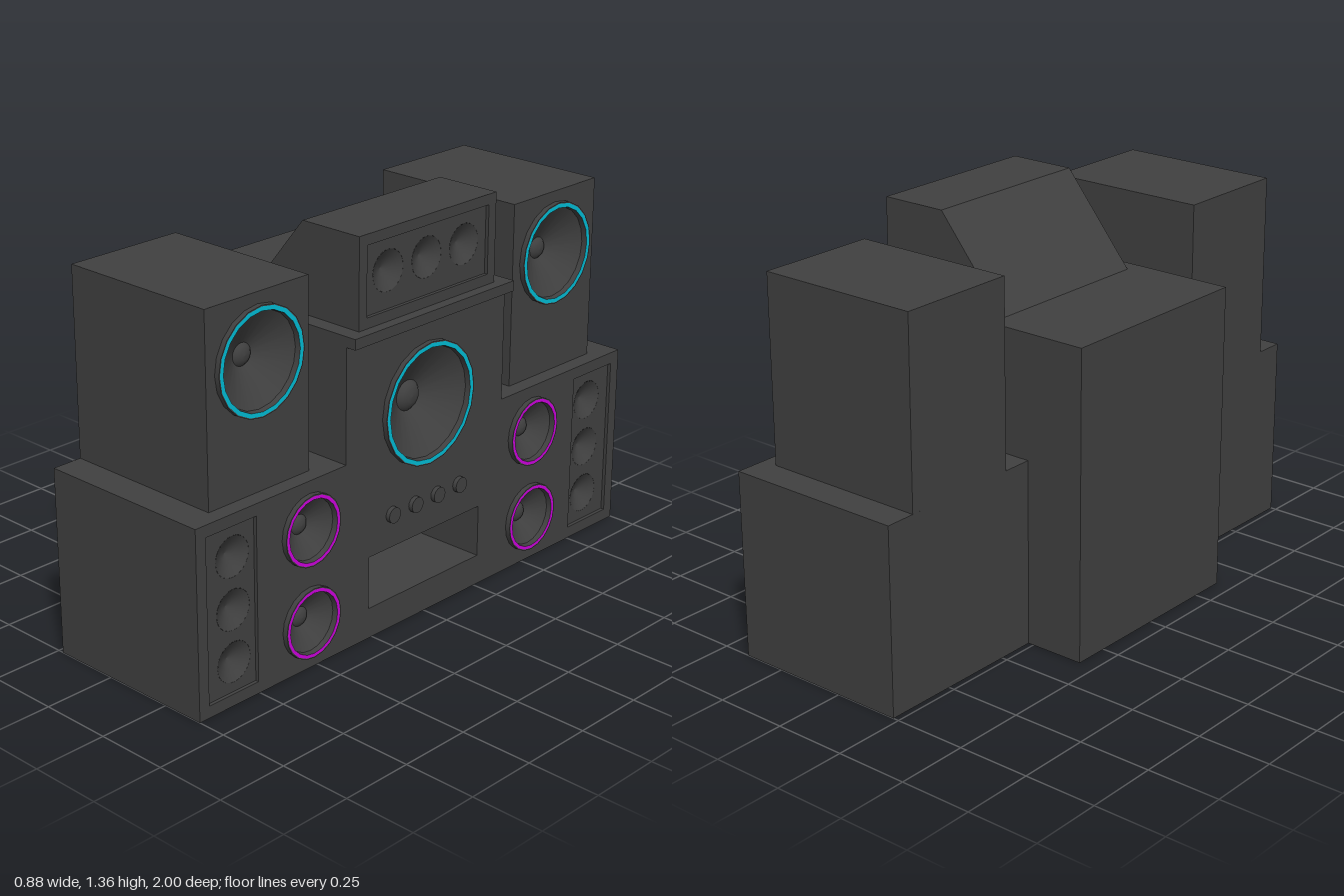
import * as THREE from 'three';

const SIDES = 20;

export function createModel() {
  const cabinetGrey = new THREE.MeshStandardMaterial({ color: 0x404040 });
  cabinetGrey.name = 'cabinet grey';
  const cyan = new THREE.MeshStandardMaterial({ color: 0x00bcd4 });
  cyan.name = 'cyan trim';
  const magenta = new THREE.MeshStandardMaterial({ color: 0xcc00dd });
  magenta.name = 'magenta trim';

  const model = new THREE.Group();
  model.name = 'speakerSystem';
  // Built facing +z, then turned so that the speakers face +x
  const body = new THREE.Group();
  body.name = 'stereo';
  body.rotation.y = Math.PI / 2;
  model.add(body);

  const add = (parent, name, geometry, material = cabinetGrey) => {
    const mesh = new THREE.Mesh(geometry, material);
    mesh.name = name;
    parent.add(mesh);
    return mesh;
  };
  // Box given by its limits
  const box = (name, x0, x1, y0, y1, z0, z1) => {
    const mesh = add(body, name, new THREE.BoxGeometry(x1 - x0, y1 - y0, z1 - z0));
    mesh.position.set((x0 + x1) / 2, (y0 + y1) / 2, (z0 + z1) / 2);
  };
  const rect = (x0, x1, y0, y1, Type = THREE.Shape) =>
    new Type([[x0, y0], [x1, y0], [x1, y1], [x0, y1]].map(p => new THREE.Vector2(...p)));
  const circle = (x, y, r) => new THREE.Path().absarc(x, y, r, 0, Math.PI * 2, true);
  // Slab with cut-outs, reaching from z0 to z1
  const slab = (name, shape, holes, z0, z1) => {
    shape.holes = holes;
    const g = new THREE.ExtrudeGeometry(shape, { depth: z1 - z0, bevelEnabled: false, curveSegments: SIDES });
    add(body, name, g.translate(0, 0, z0));
  };
  // Turned surface around the z axis
  const turned = (parent, name, points, material) => add(parent, name,
    new THREE.LatheGeometry(points.map(p => new THREE.Vector2(...p)), SIDES).rotateX(Math.PI / 2), material);

  // Driver: frame, coloured ring, cone and dust cap
  const driver = (name, x, y, z, r, band, trim, cap) => {
    const group = new THREE.Group();
    group.name = name;
    group.position.set(x, y, z);
    body.add(group);
    const h = 0.018, inner = r - 0.004 - band, deep = -0.4 * r;
    turned(group, 'frameSide', [[r, 0], [r, h]]);
    turned(group, 'frameEdge', [[r, h], [r - 0.004, h]]);
    turned(group, 'colourRing', [[r - 0.004, h], [inner, h]], trim);
    turned(group, 'innerWall', [[inner, h], [inner - 0.003, 0]]);
    turned(group, 'cone', [[inner - 0.003, 0], [cap, deep]]);
    turned(group, 'dustCap', [[cap, deep], [cap * 0.75, deep + cap * 0.25], [cap * 0.4, deep + cap * 0.38], [0, deep + cap * 0.42]]);
  };

  // Recessed panel carrying three shallow dished tweeters
  const tweeterPanel = (name, limits, centres, z) => {
    slab(name, rect(...limits), centres.map(([x, y]) => circle(x, y, 0.068)), z - 0.06, z);
    centres.forEach(([x, y]) => {
      const dish = turned(body, 'tweeterDish', [[0.068, 0], [0.045, -0.014], [0.02, -0.028], [0, -0.034]]);
      dish.position.set(x, y, z);
    });
  };

  // Main front with the cut-outs for drivers, shelf and tweeter panels
  const front = 0.4;
  const outline = new THREE.Shape([[-1, 0], [1, 0], [1, 0.635], [0.37, 0.635], [0.37, 1.055],
    [-0.37, 1.055], [-0.37, 0.635], [-1, 0.635]].map(p => new THREE.Vector2(...p)));
  const cutouts = [rect(-0.265, 0.265, 0.105, 0.285, THREE.Path), circle(0, 0.735, 0.197)];
  for (const s of [-1, 1]) {
    const a = Math.min(s * 0.755, s * 0.96), b = Math.max(s * 0.755, s * 0.96);
    cutouts.push(rect(a, b, 0.04, 0.595, THREE.Path));
    for (const y of [0.16, 0.475]) {
      cutouts.push(circle(s * 0.53, y, 0.112));
      driver('midDriver', s * 0.53, y, front, 0.119, 0.011, magenta, 0.033);
    }
    tweeterPanel('sideTweeterPanel', [a, b, 0.04, 0.595], [0.14, 0.315, 0.49].map(y => [s * 0.845, y]), front - 0.012);
  }
  slab('mainFront', outline, cutouts, 0.1, front);
  driver('mainDriver', 0, 0.735, front, 0.207, 0.014, cyan, 0.052);

  // Cabinets behind the front
  box('baseCabinet', -1, 1, 0, 0.635, -0.23, 0.1);
  box('centreCabinet', -0.37, 0.37, 0, 1.055, -0.44, 0.1);
  box('frontLip', -0.37, 0.37, 1.02, 1.055, 0.4, 0.437);

  // Control knobs
  for (const x of [-0.16, -0.053, 0.053, 0.16]) {
    const knob = add(body, 'knob', new THREE.CylinderGeometry(0.027, 0.027, 0.015, 16).rotateX(Math.PI / 2));
    knob.position.set(x, 0.4, front + 0.0075);
  }

  // Towers
  for (const s of [-1, 1]) {
    const x = s * 0.685;
    box('towerCabinet', x - 0.21, x + 0.21, 0.635, 1.265, -0.23, 0.2);
    slab('towerFront', rect(x - 0.21, x + 0.21, 0.635, 1.265), [circle(x, 1.053, 0.168)], 0.2, 0.345);
    driver('towerDriver', x, 1.053, 0.345, 0.175, 0.014, cyan, 0.037);
  }

  // Top unit with a sloping back
  const side = new THREE.Shape([[-0.3, 1.055], [0.083, 1.055], [-0.165, 1.355], [-0.3, 1.355]]
    .map(p => new THREE.Vector2(...p)));
  add(body, 'topCabinet', new THREE.ExtrudeGeometry(side, { depth: 0.63, bevelEnabled: false })
    .rotateY(Math.PI / 2).translate(-0.315, 0, 0));
  slab('topFront', rect(-0.315, 0.315, 1.055, 1.355), [rect(-0.28, 0.28, 1.09, 1.32, THREE.Path)], 0.3, front);
  tweeterPanel('topTweeterPanel', [-0.28, 0.28, 1.09, 1.32], [-0.175, 0, 0.175].map(x => [x, 1.213]), front - 0.012);

  return model;
}
